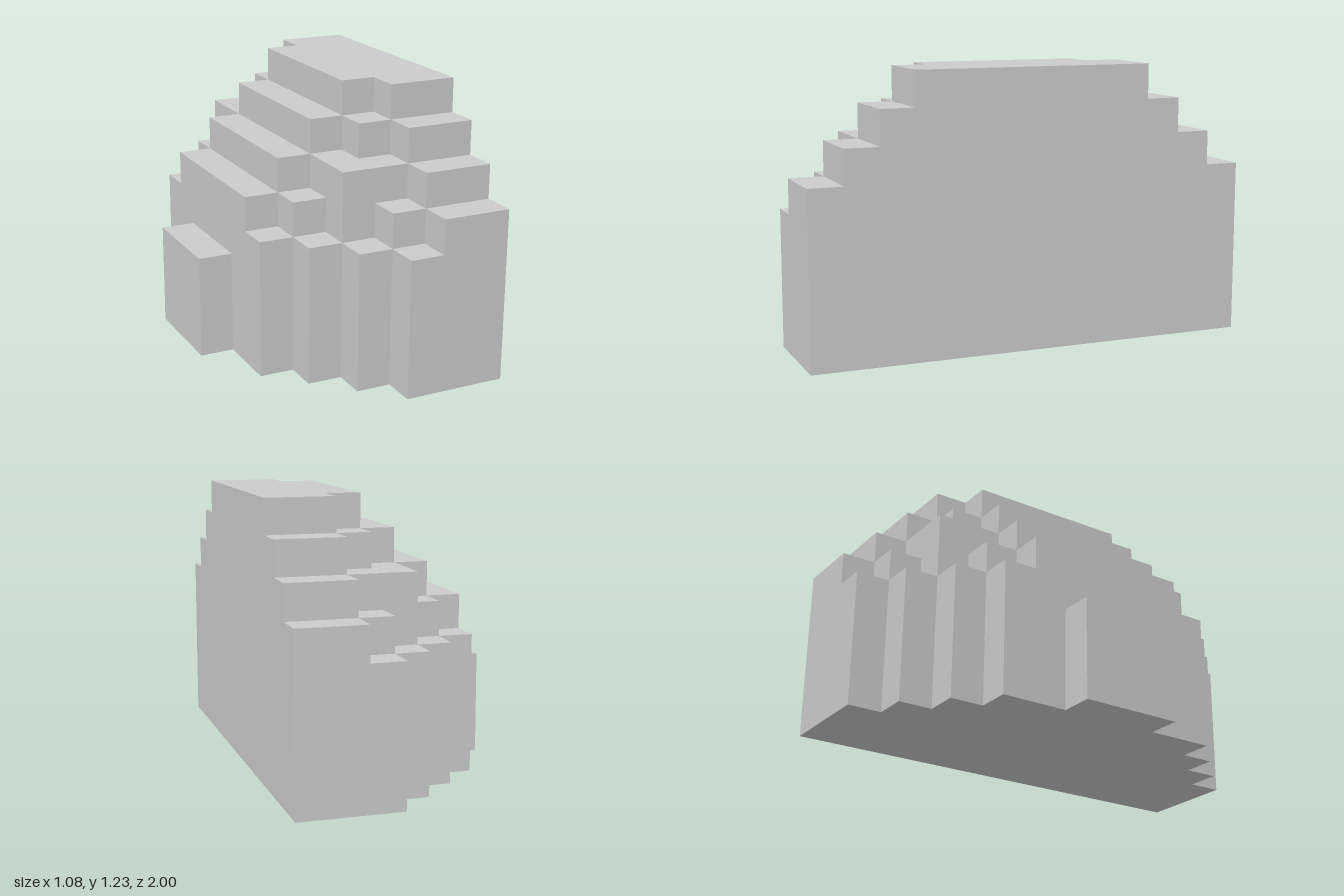
import * as THREE from 'three';

// Size of one block: 13 blocks span the 2 unit length
const U = 2 / 13;

// Layers of the half dome from its tip (-x) to the flat cut side (+x).
// heights[i] is the column height in blocks at i blocks either side of the middle.
const LAYERS = [
  { name: 'tipLayer', thick: 1, heights: [3, 3] },
  { name: 'outerLayer', thick: 1, heights: [5, 5, 5, 4] },
  { name: 'secondLayer', thick: 1, heights: [6, 6, 6, 5, 4] },
  { name: 'thirdLayer', thick: 1, heights: [7, 7, 7, 6, 6, 4] },
  { name: 'fourthLayer', thick: 1, heights: [8, 8, 8, 7, 6, 5, 4] },
  { name: 'flatSideLayer', thick: 2, heights: [8, 8, 8, 8, 7, 6, 5] },
];

// Stepped, mirrored outline of one layer
function steppedShape(heights) {
  const half = [];
  heights.forEach((h, i) => {
    if (h === heights[i + 1]) return; // merge equal columns
    const edge = (i + 0.5) * U;
    half.push([edge, h * U]);
    half.push([edge, (heights[i + 1] ?? 0) * U]);
  });
  const right = half.map(([z, y]) => new THREE.Vector2(z, y));
  const left = half.map(([z, y]) => new THREE.Vector2(-z, y)).reverse();
  return new THREE.Shape([...left, ...right].reverse());
}

export function createModel() {
  const model = new THREE.Group();
  model.name = 'steppedHalfDome';
  const material = new THREE.MeshStandardMaterial({ color: 0xcccccc, flatShading: true });

  let x = -3.5 * U;
  for (const { name, thick, heights } of LAYERS) {
    const geometry = new THREE.ExtrudeGeometry(steppedShape(heights), {
      depth: thick * U,
      bevelEnabled: false,
    });
    geometry.rotateY(Math.PI / 2); // extrude along x
    const layer = new THREE.Mesh(geometry, material);
    layer.name = name;
    layer.position.x = x;
    model.add(layer);
    x += thick * U;
  }
  return model;
}
